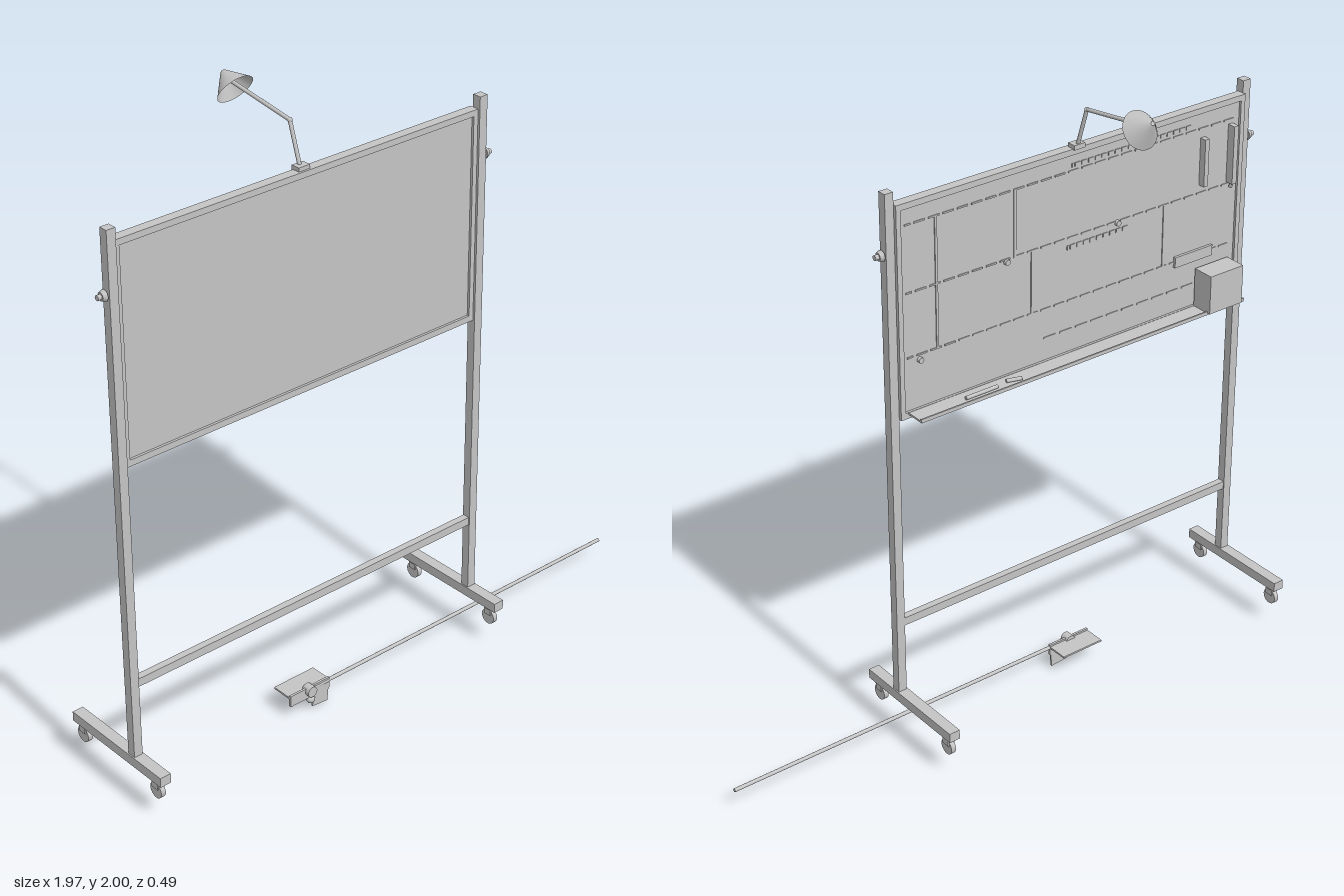
import * as THREE from 'three';

export function createModel() {
  const model = new THREE.Group();
  const grey = new THREE.MeshStandardMaterial({ color: 0xc4c4c4, side: THREE.DoubleSide });
  grey.name = 'light grey';

  const add = (name, geometry, x, y, z) => {
    const mesh = new THREE.Mesh(geometry, grey);
    mesh.name = name;
    mesh.position.set(x, y, z);
    model.add(mesh);
    return mesh;
  };
  // Box given by its low and high corners
  const box = (name, x0, x1, y0, y1, z0, z1) =>
    add(name, new THREE.BoxGeometry(x1 - x0, y1 - y0, z1 - z0), (x0 + x1) / 2, (y0 + y1) / 2, (z0 + z1) / 2);
  // Round bar between two points
  const rod = (name, a, b, r0, r1 = r0, open = false, sides = 16) => {
    const from = new THREE.Vector3(...a), to = new THREE.Vector3(...b);
    const dir = to.clone().sub(from);
    const mid = from.clone().add(to).multiplyScalar(0.5);
    const mesh = add(name, new THREE.CylinderGeometry(r1, r0, dir.length(), sides, 1, open), mid.x, mid.y, mid.z);
    mesh.quaternion.setFromUnitVectors(new THREE.Vector3(0, 1, 0), dir.normalize());
  };

  // Two posts, each on a castered foot, with a pivot knob outside
  for (const [x, side] of [[-0.943, -1], [0.376, 1]]) {
    box('post', x - 0.0145, x + 0.0145, 0.16, 1.845, 0.087, 0.116);
    box('foot', x - 0.0185, x + 0.0185, 0.14, 0.172, -0.18, 0.242);
    for (const z of [0.203, -0.148]) {
      rod('casterStem', [x, 0.115, z], [x, 0.145, z], 0.011);
      rod('casterWheel', [x - 0.008, 0.103, z], [x + 0.008, 0.103, z], 0.026, 0.026, false, 24);
      box('casterFork', x - 0.012, x + 0.012, 0.112, 0.132, z - 0.014, z + 0.014);
    }
    rod('pivotBolt', [x + side * 0.01, 1.656, 0.101], [x + side * 0.045, 1.656, 0.101], 0.008);
    rod('pivotKnob', [x + side * 0.02, 1.656, 0.101], [x + side * 0.033, 1.656, 0.101], 0.018, 0.013, false, 8);
  }
  box('crossbar', -0.93, 0.361, 0.405, 0.432, 0.09, 0.113);

  // Board panel and frame
  box('boardPanel', -0.925, 0.356, 1.13, 1.8, 0.085, 0.101);
  box('topFrame', -0.93, 0.361, 1.787, 1.806, 0.077, 0.109);
  box('bottomFrame', -0.93, 0.361, 1.125, 1.145, 0.077, 0.109);
  box('sideFrame', -0.93, -0.914, 1.145, 1.787, 0.077, 0.109);
  box('sideFrame', 0.345, 0.361, 1.145, 1.787, 0.077, 0.109);

  // Thin ruled lines on the writing face
  const ruled = (x0, x1, y0, y1) => box('ruledLine', x0, x1, y0, y1, 0.082, 0.0855);
  const dashes = (x0, x1, y, h, step) => {
    for (let x = x0; x < x1; x += step) ruled(x, Math.min(x + step * 0.75, x1), y - h / 2, y + h / 2);
  };
  for (const y of [1.735, 1.523, 1.317]) dashes(-0.89, 0.33, y, 0.005, 0.05);
  dashes(-0.72, -0.265, 1.752, 0.012, 0.025);
  dashes(-0.48, -0.25, 1.492, 0.014, 0.025);
  dashes(-0.75, -0.16, 1.22, 0.005, 0.06);
  for (const [x, y0, y1] of [[0.223, 1.317, 1.735], [-0.057, 1.523, 1.735], [-0.12, 1.317, 1.523], [-0.625, 1.317, 1.523]])
    ruled(x - 0.004, x + 0.004, y0, y1);

  // Magnets
  for (const [x, y] of [[-0.025, 1.516], [-0.44, 1.519], [0.287, 1.3]])
    rod('magnet', [x, y, 0.086], [x, y, 0.074], 0.009);

  // Bars and small holder on the writing face
  box('verticalBar', -0.778, -0.762, 1.55, 1.705, 0.062, 0.086);
  box('verticalBar', -0.89, -0.873, 1.53, 1.72, 0.057, 0.086);
  rod('barFoot', [-0.882, 1.53, 0.068], [-0.882, 1.515, 0.074], 0.006);
  box('holderPlate', -0.82, -0.67, 1.3, 1.335, 0.076, 0.086);

  // Tray with lip, supply box and pens
  box('tray', -0.905, 0.335, 1.138, 1.144, 0.013, 0.08);
  box('trayLip', -0.905, 0.335, 1.138, 1.15, 0.013, 0.018);
  box('supplyBox', -0.886, -0.754, 1.144, 1.273, 0.003, 0.078);
  rod('pen', [-0.042, 1.15, 0.032], [0.005, 1.15, 0.046], 0.006);
  rod('pen', [0.045, 1.15, 0.036], [0.16, 1.15, 0.036], 0.006);

  // Lamp: clamp, bent arm and open conical shade
  const lx = -0.284;
  box('lampClamp', lx - 0.02, lx + 0.02, 1.803, 1.818, 0.072, 0.102);
  rod('lampLowerArm', [lx, 1.81, 0.083], [lx, 1.935, 0.043], 0.006);
  add('lampElbow', new THREE.SphereGeometry(0.0075, 12, 8), lx, 1.935, 0.043);
  rod('lampUpperArm', [lx, 1.935, 0.043], [lx, 1.972, -0.215], 0.006);
  rod('lampShade', [lx, 1.951, -0.19], [lx, 1.988, -0.242], 0.058, 0.008, true, 32);
  rod('lampShadeCap', [lx, 1.986, -0.239], [lx, 1.989, -0.243], 0.009, 0.006);

  // Cable and hinged clip near the ground
  rod('cable', [-0.3, 0.075, 0.096], [0.985, 0.075, 0.096], 0.006);
  box('clipPlate', -0.36, -0.205, 0.074, 0.08, 0.022, 0.1);
  box('clipBar', -0.36, -0.205, 0.048, 0.086, 0.092, 0.1);
  rod('clipPivot', [lx, 0.075, 0.084], [lx, 0.075, 0.114], 0.018);
  const flap = box('clipFlap', -0.27, -0.21, 0.005, 0.055, 0.092, 0.098);
  flap.rotation.z = -0.1;
  add('clipBall', new THREE.SphereGeometry(0.014, 16, 10), -0.28, 0.04, 0.098);

  return model;
}
